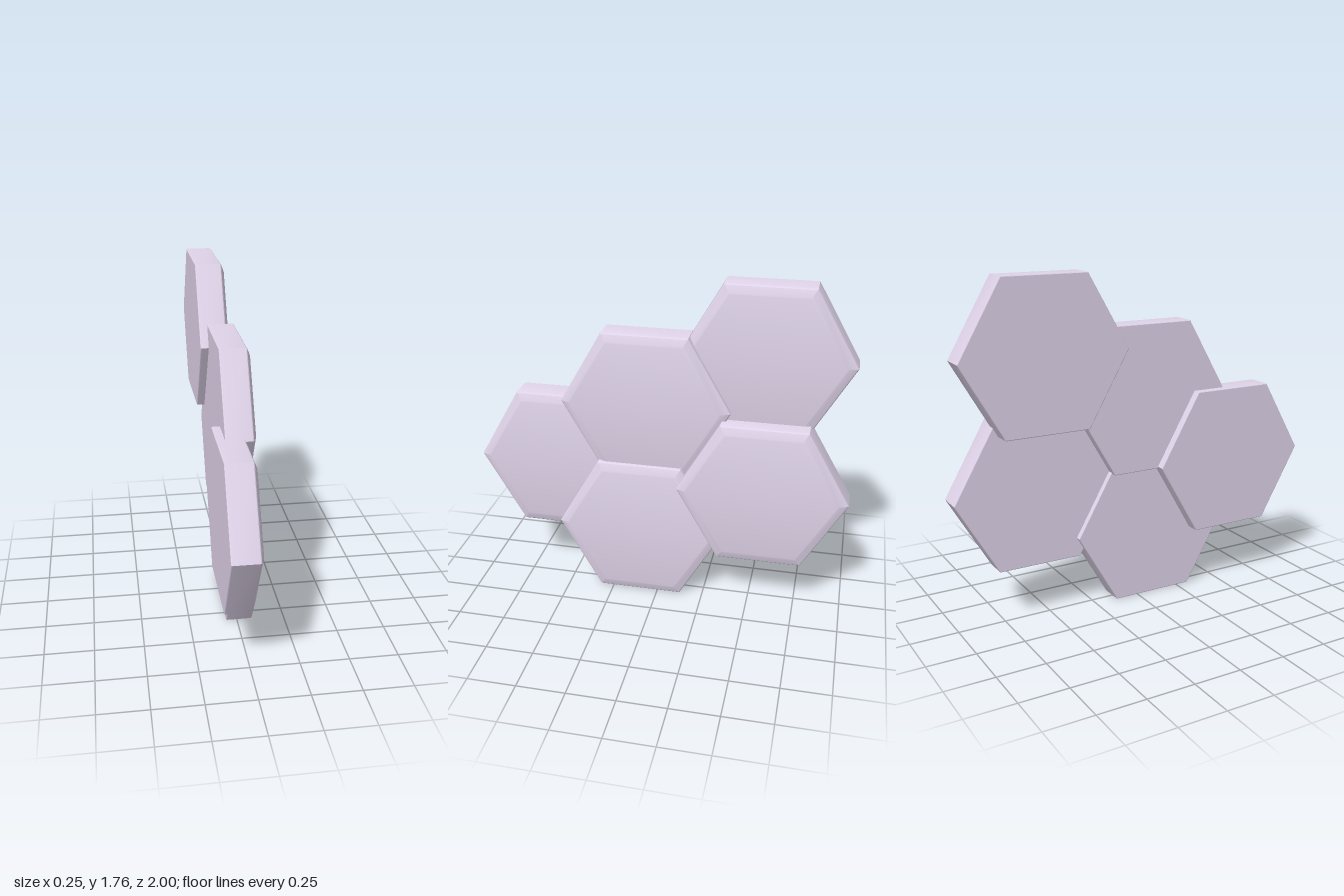
import * as THREE from 'three';
import { toCreasedNormals } from 'three/addons/utils/BufferGeometryUtils.js';

const RADIUS = 0.447, DEPTH = 0.155;

// Six-sided panel along +x: flat back, straight rim, shallow bevel around the face
function hexPanelGeometry() {
  const R = RADIUS, D = DEPTH;
  const profile = [
    [0, 0],
    [R - 0.005, 0],
    [R - 0.0015, 0.0015],
    [R, 0.005],
    [R, D - 0.026],
    [R - 0.002, D - 0.021],
    [R - 0.007, D - 0.017],
    [R - 0.049, D - 0.002],
    [R - 0.057, D],
    [0, D],
  ].map(([r, y]) => new THREE.Vector2(r, y));
  const geometry = new THREE.LatheGeometry(profile, 6);
  geometry.rotateZ(-Math.PI / 2);
  return toCreasedNormals(geometry, 0.35);
}

// Panel placement: name, back face x, centre y, centre z
const PANELS = [
  ['frontPanel', -0.13, 0.72, 0.553],
  ['centrePanel', -0.088, 1.098, 0.073],
  ['bottomPanel', -0.057, 0.388, 0.098],
  ['rearPanel', -0.03, 0.672, -0.553],
  ['topPanel', -0.13, 1.376, -0.538],
];

export function createModel() {
  const model = new THREE.Group();
  model.name = 'hexagonWallPanels';
  const geometry = hexPanelGeometry();
  const material = new THREE.MeshStandardMaterial({ color: 0xe0d4ea });
  for (const [name, x, y, z] of PANELS) {
    const panel = new THREE.Mesh(geometry, material);
    panel.name = name;
    panel.position.set(x, y, z);
    model.add(panel);
  }
  return model;
}
